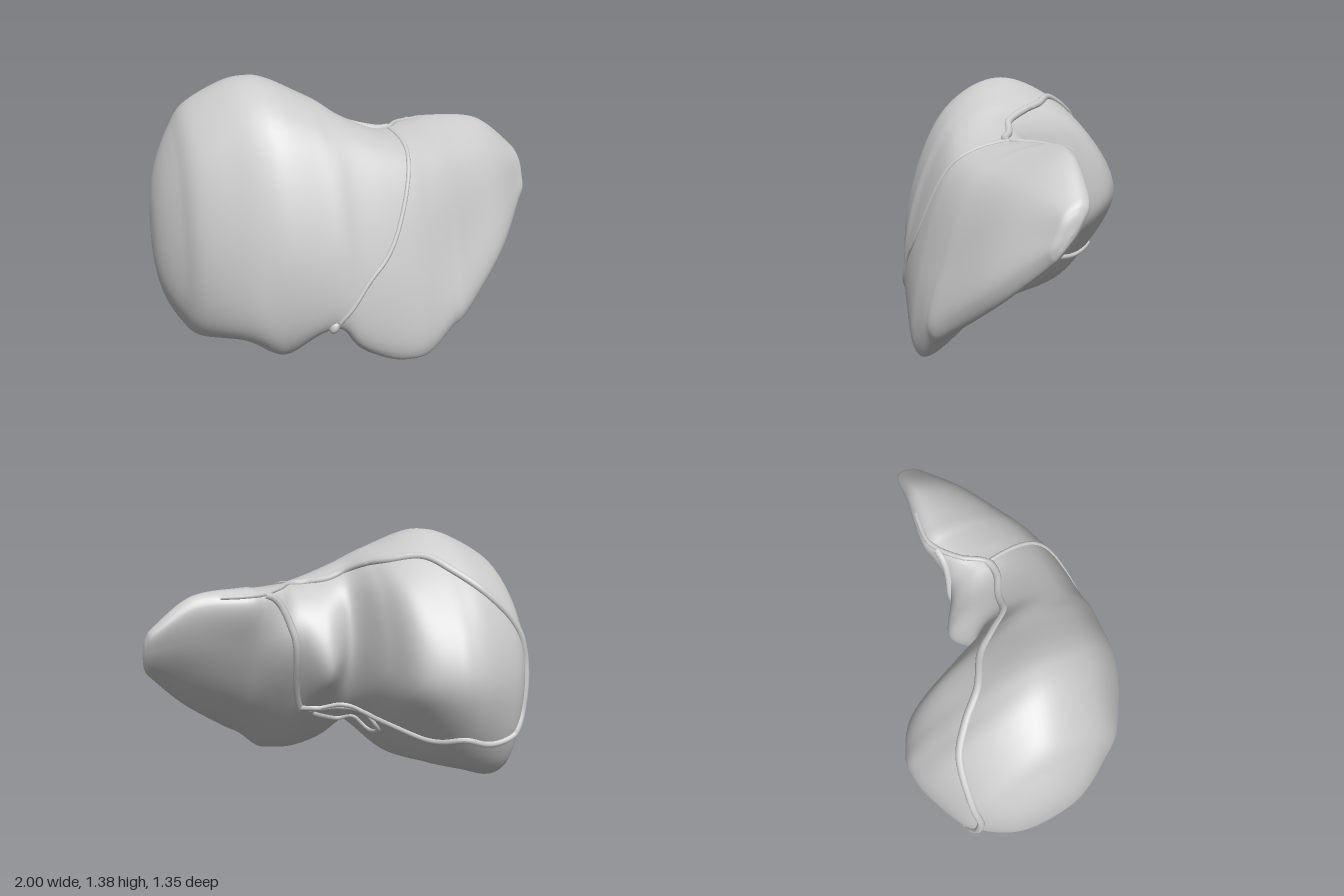
import * as THREE from 'three';

const grey = new THREE.MeshStandardMaterial({ color: 0xcccccc });
grey.name = 'pale grey';

// Cross-sections across x: [x, then (y, z) for top, front shoulder, front,
// front edge, bottom, lower back, back, back shoulder]
const rightLobe = [
  [-0.95, 0.94, -0.12, 0.84, 0.05, 0.56, 0.13, 0.31, 0.08, 0.20, -0.10, 0.28, -0.30, 0.60, -0.38, 0.84, -0.30],
  [-0.88, 1.11, -0.10, 0.96, 0.14, 0.56, 0.25, 0.22, 0.18, 0.07, -0.09, 0.19, -0.37, 0.61, -0.49, 0.95, -0.38],
  [-0.80, 1.235, -0.08, 1.06, 0.22, 0.55, 0.37, 0.16, 0.28, 0.00, -0.08, 0.13, -0.42, 0.62, -0.57, 1.03, -0.43],
  [-0.62, 1.345, -0.02, 1.18, 0.28, 0.58, 0.50, 0.17, 0.45, 0.06, 0.10, 0.15, -0.40, 0.65, -0.65, 1.12, -0.45],
  [-0.50, 1.375, 0.01, 1.21, 0.33, 0.60, 0.56, 0.15, 0.52, 0.045, 0.38, 0.18, -0.34, 0.68, -0.675, 1.15, -0.42],
  [-0.40, 1.36, 0.03, 1.20, 0.36, 0.60, 0.59, 0.16, 0.55, 0.04, 0.42, 0.23, -0.27, 0.68, -0.66, 1.15, -0.39],
  [-0.25, 1.29, 0.08, 1.16, 0.38, 0.60, 0.61, 0.22, 0.59, 0.17, 0.45, 0.35, -0.13, 0.68, -0.55, 1.10, -0.37],
  [-0.17, 1.25, 0.12, 1.12, 0.40, 0.60, 0.62, 0.22, 0.61, 0.22, 0.45, 0.41, -0.02, 0.68, -0.32, 1.08, -0.22],
];
const leftLobe = [
  [-0.08, 1.19, 0.18, 1.10, 0.40, 0.55, 0.625, 0.13, 0.625, 0.09, 0.53, 0.43, 0.08, 0.75, -0.07, 1.09, 0.00],
  [0.07, 1.12, 0.20, 1.05, 0.42, 0.52, 0.63, 0.08, 0.65, 0.02, 0.59, 0.43, 0.06, 0.70, -0.155, 1.00, -0.03],
  [0.20, 1.09, 0.22, 1.00, 0.44, 0.50, 0.625, 0.08, 0.665, 0.015, 0.62, 0.38, 0.20, 0.84, -0.07, 1.07, 0.06],
  [0.29, 1.095, 0.12, 0.99, 0.42, 0.51, 0.605, 0.11, 0.655, 0.04, 0.61, 0.38, 0.23, 0.83, -0.04, 1.07, 0.00],
  [0.40, 1.10, 0.03, 0.98, 0.39, 0.53, 0.57, 0.21, 0.635, 0.14, 0.59, 0.40, 0.24, 0.82, -0.02, 1.06, -0.06],
  [0.50, 1.11, 0.00, 0.97, 0.35, 0.55, 0.53, 0.27, 0.60, 0.205, 0.56, 0.45, 0.24, 0.82, 0.00, 1.05, -0.08],
  [0.75, 1.085, 0.02, 0.95, 0.24, 0.70, 0.37, 0.47, 0.43, 0.41, 0.38, 0.58, 0.20, 0.83, 0.03, 1.03, -0.03],
  [0.94, 0.945, 0.04, 0.89, 0.14, 0.77, 0.20, 0.67, 0.23, 0.62, 0.20, 0.70, 0.11, 0.82, 0.03, 0.92, 0.00],
];

// Each end is a shrunken copy of the last section, then a point
const shrink = (section, x, y, z, f) =>
  [x, ...section.slice(1).map((v, i) => THREE.MathUtils.lerp(i % 2 ? z : y, v, f))];
const first = rightLobe[0], last = leftLobe[leftLobe.length - 1];
const sections = [
  shrink(first, -1, 0.55, -0.12, 0), shrink(first, -0.988, 0.55, -0.12, 0.55), ...rightLobe,
  ...leftLobe, shrink(last, 0.987, 0.78, 0.1, 0.58), shrink(last, 1, 0.78, 0.1, 0)];

// Eight guide curves run from tip to tip
const rails = Array.from({ length: 8 }, (_, k) => new THREE.CatmullRomCurve3(
  sections.map(r => new THREE.Vector3(r[0], r[1 + 2 * k], r[2 + 2 * k])), false, 'catmullrom', 0.5));
const sectionAt = u => new THREE.CatmullRomCurve3(rails.map(r => r.getPoint(u)), true);
const wrap = s => s - Math.floor(s);

const NU = 190, NS = 96;
function bodyGrid() {
  const grid = [];
  for (let i = 0; i <= NU; i++) {
    const c = sectionAt(i / NU);
    for (let j = 0; j < NS; j++) grid.push(c.getPoint(j / NS));
  }
  return grid;
}

function bodyGeometry(grid) {
  const index = [];
  for (let i = 0; i < NU; i++) for (let j = 0; j < NS; j++) {
    const k = (j + 1) % NS;
    const a = i * NS + j, b = i * NS + k, c = a + NS, d = b + NS;
    index.push(a, b, c, b, d, c);
  }
  const geo = new THREE.BufferGeometry().setFromPoints(grid);
  geo.setIndex(index);
  geo.computeVertexNormals();
  return geo;
}

// A cord that hugs the body: rough points are snapped to the surface
// and joined by a spline in surface coordinates
function cord(grid, name, points, radius, closed = false) {
  let previous = null;
  const uv = points.map(p => {
    const v = new THREE.Vector3(...p);
    let best = 0, min = Infinity;
    grid.forEach((g, n) => {
      const d = g.distanceToSquared(v);
      if (d < min) { min = d; best = n; }
    });
    let s = (best % NS) / NS;
    if (previous !== null) s += Math.round(previous - s);
    previous = s;
    return new THREE.Vector3(Math.floor(best / NS) / NU, s, 0);
  });
  const flat = new THREE.CatmullRomCurve3(uv, closed);
  const n = points.length * 6;
  const path = flat.getPoints(n).slice(0, closed ? n : n + 1).map(q =>
    sectionAt(THREE.MathUtils.clamp(q.x, 0, 1)).getPoint(wrap(q.y)));
  const mesh = new THREE.Mesh(
    new THREE.TubeGeometry(new THREE.CatmullRomCurve3(path, closed), n * 2, radius, 10, closed), grey);
  mesh.name = name;
  return mesh;
}

export function createModel() {
  const group = new THREE.Group();
  group.name = 'liver';
  const grid = bodyGrid();

  // All lobes as one smooth loft
  const body = new THREE.Mesh(bodyGeometry(grid), grey);
  body.name = 'lobes';
  group.add(body);

  // Ligaments
  group.add(cord(grid, 'frontLigament', [
    [0.2, 1.1, 0.15], [0.21, 1.0, 0.42], [0.11, 0.72, 0.56], [-0.05, 0.47, 0.63], [-0.19, 0.27, 0.62]], 0.011));
  group.add(cord(grid, 'rightCrownLigament', [
    [0.2, 1.1, 0.15], [0.1, 1.1, 0.14], [-0.05, 1.16, 0.08], [-0.16, 1.22, -0.02], [-0.3, 1.25, -0.18],
    [-0.5, 1.22, -0.36], [-0.7, 1.09, -0.53], [-0.82, 0.97, -0.55], [-0.89, 0.75, -0.5],
    [-0.87, 0.5, -0.5], [-0.82, 0.36, -0.53]], 0.02));
  group.add(cord(grid, 'lowerBackLigament', [
    [-0.82, 0.36, -0.53], [-0.68, 0.34, -0.54], [-0.52, 0.37, -0.5],
    [-0.36, 0.34, -0.3], [-0.2, 0.38, -0.02], [0, 0.42, 0.1], [0.15, 0.42, 0.15]], 0.018));
  group.add(cord(grid, 'backFissureLigament', [
    [0.15, 0.42, 0.15], [0.2, 0.58, 0.05], [0.23, 0.8, -0.05], [0.28, 1.0, -0.06], [0.38, 1.09, -0.05]], 0.02));
  group.add(cord(grid, 'leftCrownLigament', [
    [0.2, 1.1, 0.15], [0.28, 1.1, 0.05], [0.38, 1.1, -0.05], [0.62, 1.09, -0.05]], 0.013));
  group.add(cord(grid, 'vesselRing', [
    [0.08, 0.4, 0.14], [-0.14, 0.41, 0.04], [-0.29, 0.32, 0], [-0.27, 0.26, 0.1], [-0.1, 0.3, 0.24]], 0.016, true));

  // Rounded end of the front ligament, in the lower notch
  const end = new THREE.Mesh(new THREE.SphereGeometry(1, 24, 16), grey);
  end.name = 'ligamentEnd';
  end.position.set(-0.215, 0.235, 0.59);
  end.scale.set(0.025, 0.04, 0.035);
  end.rotation.z = -0.4;
  group.add(end);
  return group;
}
